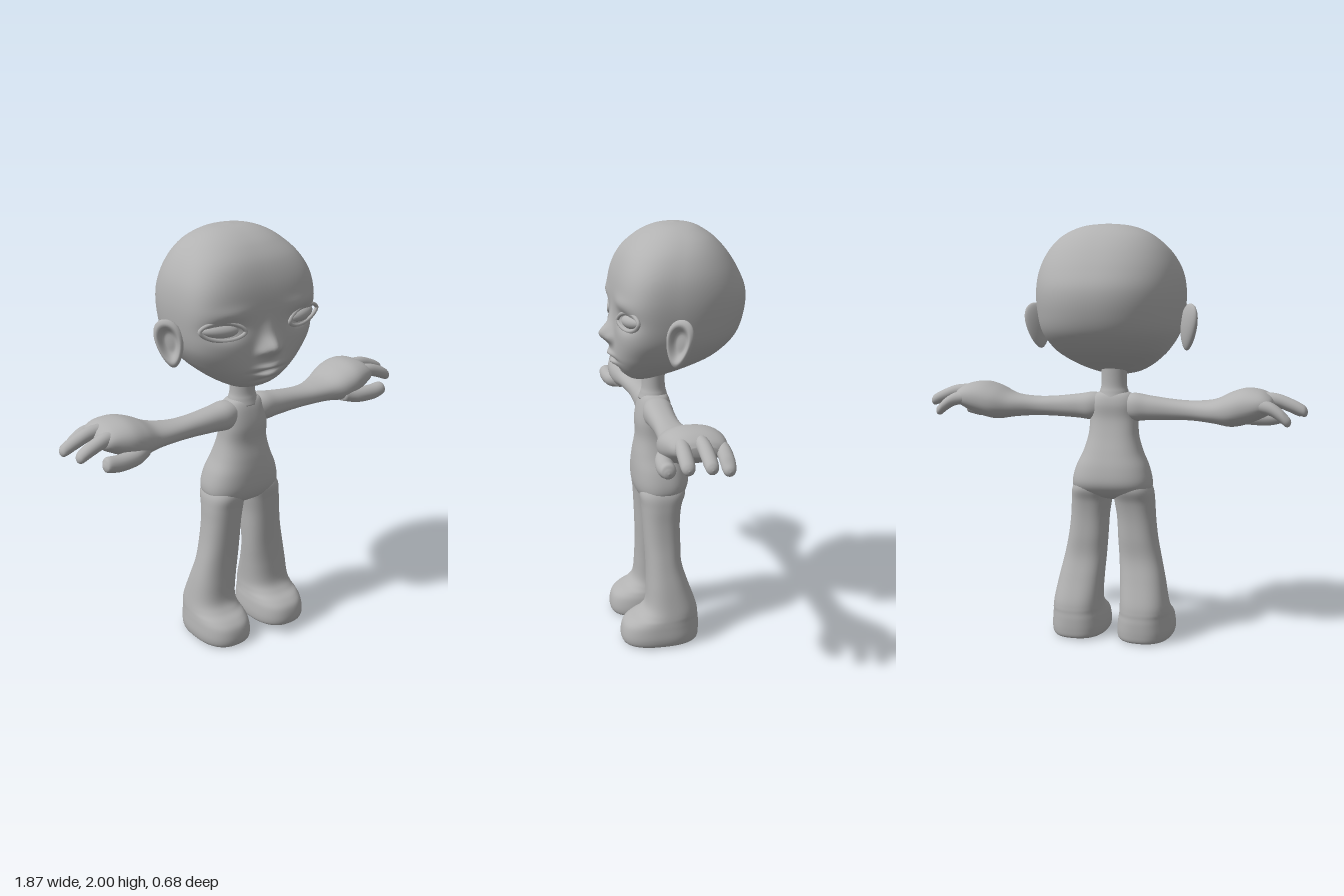
import * as THREE from 'three';
import { mergeVertices } from 'three/addons/utils/BufferGeometryUtils.js';

const clay = new THREE.MeshStandardMaterial({ color: 0xb2b2b2 });
clay.name = 'clay grey';

// Catmull-Rom blend of whole key rows, with straight extrapolation at the ends
function blendRows(keys, steps) {
  const at = (i) => {
    if (i < 0) return keys[0].map((v, k) => 2 * v - keys[1][k]);
    const n = keys.length;
    if (i >= n) return keys[n - 1].map((v, k) => 2 * v - keys[n - 2][k]);
    return keys[i];
  };
  const rows = [];
  for (let i = 0; i < keys.length - 1; i++) {
    const [p, q, r, s] = [at(i - 1), at(i), at(i + 1), at(i + 2)];
    for (let j = 0; j < steps; j++) {
      const t = j / steps;
      rows.push(q.map((v, k) => v + 0.5 * t * (r[k] - p[k]
        + t * (2 * p[k] - 5 * v + 4 * r[k] - s[k] + t * (3 * (v - r[k]) + s[k] - p[k])))));
    }
  }
  rows.push(keys[keys.length - 1]);
  return rows;
}

// Loft of superellipse sections along y (a = x, b = z) or along x (a = y, b = z).
// Key row: [t, aMin, aMax, bMin, bMax, power front, power back, widest b]
function loft(axis, keys, { steps = 6, sides = 40, power = 2.3, rule } = {}) {
  const full = keys.map(([t, a0, a1, b0, b1, nf = power, nb = power, m = (b0 + b1) / 2]) =>
    [t, a0, a1, b0, b1, nf, nb, m]);
  const rows = blendRows(full, steps);
  const pos = [], idx = [];
  const put = (t, a, b) => (axis === 'y' ? pos.push(a, t, b) : pos.push(t, a, b));
  for (const [t, a0, a1, b0, b1, nf, nb, m] of rows) {
    for (let j = 0; j < sides; j++) {
      const u = (j / sides) * Math.PI * 2, c = Math.cos(u), s = Math.sin(u);
      const n = s > 0 ? nf : nb;
      const r = Math.pow(Math.abs(c) ** n + Math.abs(s) ** n, -1 / n);
      put(t, (a0 + a1) / 2 + (r * c * (a1 - a0)) / 2, m + r * s * (s > 0 ? b1 - m : m - b0));
    }
  }
  const tri = (a, b, c) => (axis === 'y' ? idx.push(a, b, c) : idx.push(a, c, b));
  for (let i = 0; i < rows.length - 1; i++) {
    for (let j = 0; j < sides; j++) {
      const p = i * sides + j, q = i * sides + (j + 1) % sides;
      tri(p, p + sides, q);
      tri(q, p + sides, q + sides);
    }
  }
  // end caps
  const last = (rows.length - 1) * sides;
  [rows[0], rows[rows.length - 1]].forEach((r) => put(r[0], (r[1] + r[2]) / 2, (r[3] + r[4]) / 2));
  for (let j = 0; j < sides; j++) {
    const k = (j + 1) % sides;
    tri(last + sides, j, k);
    tri(last + sides + 1, last + k, last + j);
  }
  if (rule) for (let i = 0; i < pos.length; i += 3) pos[i + 2] += rule(pos[i], pos[i + 1], pos[i + 2]);
  const g = new THREE.BufferGeometry();
  g.setAttribute('position', new THREE.Float32BufferAttribute(pos, 3));
  g.setIndex(idx);
  g.computeVertexNormals();
  return g;
}

function weld(g) {
  g.deleteAttribute('uv');
  g.deleteAttribute('normal');
  const m = mergeVertices(g, 1e-5);
  m.computeVertexNormals();
  return m;
}

function mirrored(g) {
  const m = g.clone();
  m.scale(-1, 1, 1);
  m.setIndex(Array.from(m.index.array).reverse());
  m.computeVertexNormals();
  return m;
}

// Soft bump used to sculpt the face
const bump = (x, y, cx, cy, sx, sy) => Math.exp(-(((x - cx) / sx) ** 2) - ((y - cy) / sy) ** 2);

function sculptFace(x, y, z) {
  if (z < 0.08) return 0;
  const ax = Math.abs(x);
  return 0.058 * bump(x, y, 0, 1.5, 0.045, 0.042) // nose
    + 0.012 * bump(x, y, 0, 1.56, 0.035, 0.05)
    + 0.014 * bump(ax, y, 0.05, 1.485, 0.022, 0.022)
    + 0.01 * bump(x, y, 0, 1.395, 0.1, 0.05) // mouth
    + 0.016 * bump(x, y, 0, 1.408, 0.06, 0.012)
    + 0.016 * bump(x, y, 0, 1.366, 0.05, 0.013)
    - 0.014 * bump(x, y, 0, 1.387, 0.075, 0.008)
    - 0.01 * bump(x, y, 0, 1.342, 0.06, 0.012)
    - 0.03 * bump(ax, y, 0.215, 1.597, 0.08, 0.04) // eye sockets
    + 0.007 * bump(ax, y, 0.19, 1.67, 0.09, 0.03); // brows
}

function headGeometry() {
  const rows = [ // y, half width, back, front, front power, back power, widest z
    [1.283, 0.01, 0.14, 0.17, 2.2, 2, 0.155],
    [1.3, 0.1, 0.085, 0.207, 2.2, 2, 0.15],
    [1.33, 0.168, 0, 0.24, 2.3, 2, 0.11],
    [1.37, 0.225, -0.12, 0.26, 2.5, 2, 0.07],
    [1.42, 0.275, -0.22, 0.27, 2.8, 2.1, 0.04],
    [1.5, 0.322, -0.3, 0.272, 3.3, 2.2, 0.03],
    [1.6, 0.342, -0.338, 0.27, 3.6, 2.2, 0.03],
    [1.7, 0.346, -0.343, 0.268, 3.6, 2.2, 0.03],
    [1.79, 0.33, -0.308, 0.252, 3.4, 2.2, 0.02],
    [1.87, 0.289, -0.258, 0.218, 3, 2.2, 0],
    [1.93, 0.233, -0.204, 0.166, 2.6, 2.2, -0.02],
    [1.968, 0.172, -0.152, 0.11, 2.4, 2.2, -0.02],
    [1.991, 0.1, -0.1, 0.05, 2.2, 2.2, -0.02],
    [2, 0.005, -0.025, -0.015, 2, 2, -0.02],
  ];
  const keys = rows.map(([y, w, ...rest]) => [y, -w, w, ...rest]);
  return loft('y', keys, { steps: 9, sides: 160, rule: sculptFace });
}

// Bowl-shaped ear facing outward and forward, narrowing to the lobe
function earGeometry() {
  const g = weld(new THREE.SphereGeometry(1, 40, 28).rotateX(Math.PI / 2));
  const p = g.attributes.position;
  for (let i = 0; i < p.count; i++) {
    const x = p.getX(i), y = p.getY(i), z = p.getZ(i);
    const dent = z > 0 ? 0.042 * (1 - THREE.MathUtils.smoothstep(Math.hypot(x, y), 0.35, 0.85)) : 0;
    p.setXYZ(i, 0.064 * x * (1 + 0.28 * y) + 0.017 * y, 0.11 * y, 0.026 * z - dent * 0.9);
  }
  g.rotateY(0.84).translate(0.372, 1.523, 0.037);
  g.computeVertexNormals();
  return g;
}

function eyeballGeometry() {
  const g = weld(new THREE.SphereGeometry(1, 32, 20));
  g.scale(0.092, 0.036, 0.045).rotateZ(0.08).rotateY(0.27).translate(0.222, 1.598, 0.207);
  g.computeVertexNormals();
  return g;
}

// Almond rim; the outer corner sweeps past the side of the face
function eyelidGeometry() {
  const pts = [];
  for (let i = 0; i < 28; i++) {
    const t = (i / 28) * Math.PI * 2, c = Math.cos(t), s = Math.sin(t);
    const x = 0.226 + 0.104 * c;
    pts.push(new THREE.Vector3(x, 1.598 + 0.041 * s * Math.abs(s) ** 0.3 + 0.01 * c, 0.264 - 0.27 * (x - 0.12)));
  }
  return weld(new THREE.TubeGeometry(new THREE.CatmullRomCurve3(pts, true), 84, 0.009, 8, true));
}

// Round-tipped finger through [x, y, z] points
function fingerGeometry(points, r) {
  const [tx, ty, tz] = points[points.length - 1];
  const path = [...points.slice(0, -1).map((q) => [...q, r]),
    [tx - 0.022, ty + 0.006, tz, r * 0.9], [tx - 0.006, ty, tz, r * 0.55], [tx, ty, tz, r * 0.05]];
  const keys = path.map(([x, y, z, k]) => [x, y - k, y + k, z - k, z + k]);
  return loft('x', keys, { steps: 5, sides: 20, power: 2 });
}

export function createModel() {
  const model = new THREE.Group();
  model.name = 'figure';
  const add = (name, g) => {
    const m = new THREE.Mesh(g, clay);
    m.name = name;
    model.add(m);
  };
  const pair = (name, g) => {
    add('left' + name, g);
    add('right' + name, mirrored(g));
  };

  // head
  add('head', headGeometry());
  pair('Ear', earGeometry());
  pair('Eyeball', eyeballGeometry());
  pair('Eyelids', eyelidGeometry());

  // neck and torso
  const neck = [[1.18, 0.08], [1.21, 0.07], [1.25, 0.062], [1.37, 0.064]];
  add('neck', loft('y', neck.map(([y, r]) => [y, -r, r, 0.08 - r * 0.9, 0.08 + r * 0.85]), { power: 2 }));
  const torso = [ // y, half width, back, front
    [0.69, 0.04, 0.02, 0.11], [0.705, 0.13, -0.02, 0.15], [0.735, 0.185, -0.058, 0.172],
    [0.78, 0.195, -0.078, 0.184], [0.85, 0.177, -0.07, 0.185], [0.92, 0.145, -0.048, 0.178],
    [1, 0.122, -0.02, 0.165], [1.08, 0.117, 0, 0.167], [1.15, 0.112, 0, 0.155],
    [1.195, 0.09, 0.015, 0.138], [1.215, 0.05, 0.045, 0.115],
  ];
  add('torso', loft('y', torso.map(([y, w, ...z]) => [y, -w, w, ...z]), { sides: 48, power: 2.5 }));

  // legs flaring down into rounded feet
  pair('Leg', loft('y', [
    [0.005, 0.06, 0.27, -0.07, 0.245], [0.015, 0.036, 0.294, -0.094, 0.27],
    [0.05, 0.03, 0.302, -0.1, 0.277], [0.1, 0.035, 0.298, -0.1, 0.266],
    [0.13, 0.042, 0.294, -0.097, 0.235], [0.155, 0.047, 0.29, -0.095, 0.188],
    [0.2, 0.05, 0.282, -0.085, 0.155], [0.3, 0.045, 0.264, -0.05, 0.147],
    [0.4, 0.037, 0.242, -0.022, 0.146], [0.5, 0.03, 0.222, -0.02, 0.15],
    [0.6, 0.024, 0.21, -0.02, 0.155], [0.68, 0.012, 0.205, -0.03, 0.16],
    [0.74, 0.005, 0.197, -0.05, 0.165], [0.79, 0.02, 0.17, -0.04, 0.145],
  ], { sides: 48, power: 2.5 }));

  // arms widening into the palms
  pair('Arm', loft('x', [
    [0.02, 1.1, 1.185, 0.04, 0.125], [0.1, 1.07, 1.203, 0.01, 0.148],
    [0.18, 1.075, 1.192, 0.015, 0.145], [0.3, 1.08, 1.178, 0.018, 0.14],
    [0.4, 1.08, 1.175, 0.003, 0.145], [0.5, 1.073, 1.188, -0.045, 0.158],
    [0.58, 1.062, 1.225, -0.08, 0.183], [0.65, 1.075, 1.245, -0.09, 0.188],
    [0.72, 1.105, 1.238, -0.088, 0.168], [0.765, 1.13, 1.215, -0.07, 0.145],
    [0.785, 1.15, 1.19, -0.03, 0.1],
  ]));
  pair('OuterFinger', fingerGeometry([[0.69, 1.175, -0.052], [0.77, 1.163, -0.06], [0.82, 1.135, -0.064], [0.87, 1.105, -0.065]], 0.032));
  pair('MiddleFinger', fingerGeometry([[0.69, 1.2, 0.03], [0.79, 1.195, 0.028], [0.86, 1.172, 0.026], [0.935, 1.143, 0.025]], 0.031));
  pair('IndexFinger', fingerGeometry([[0.69, 1.19, 0.105], [0.77, 1.185, 0.113], [0.84, 1.162, 0.115], [0.905, 1.135, 0.115]], 0.032));
  pair('Thumb', fingerGeometry([[0.57, 1.11, 0.135], [0.64, 1.096, 0.165], [0.73, 1.093, 0.176], [0.812, 1.095, 0.178]], 0.038));
  return model;
}
